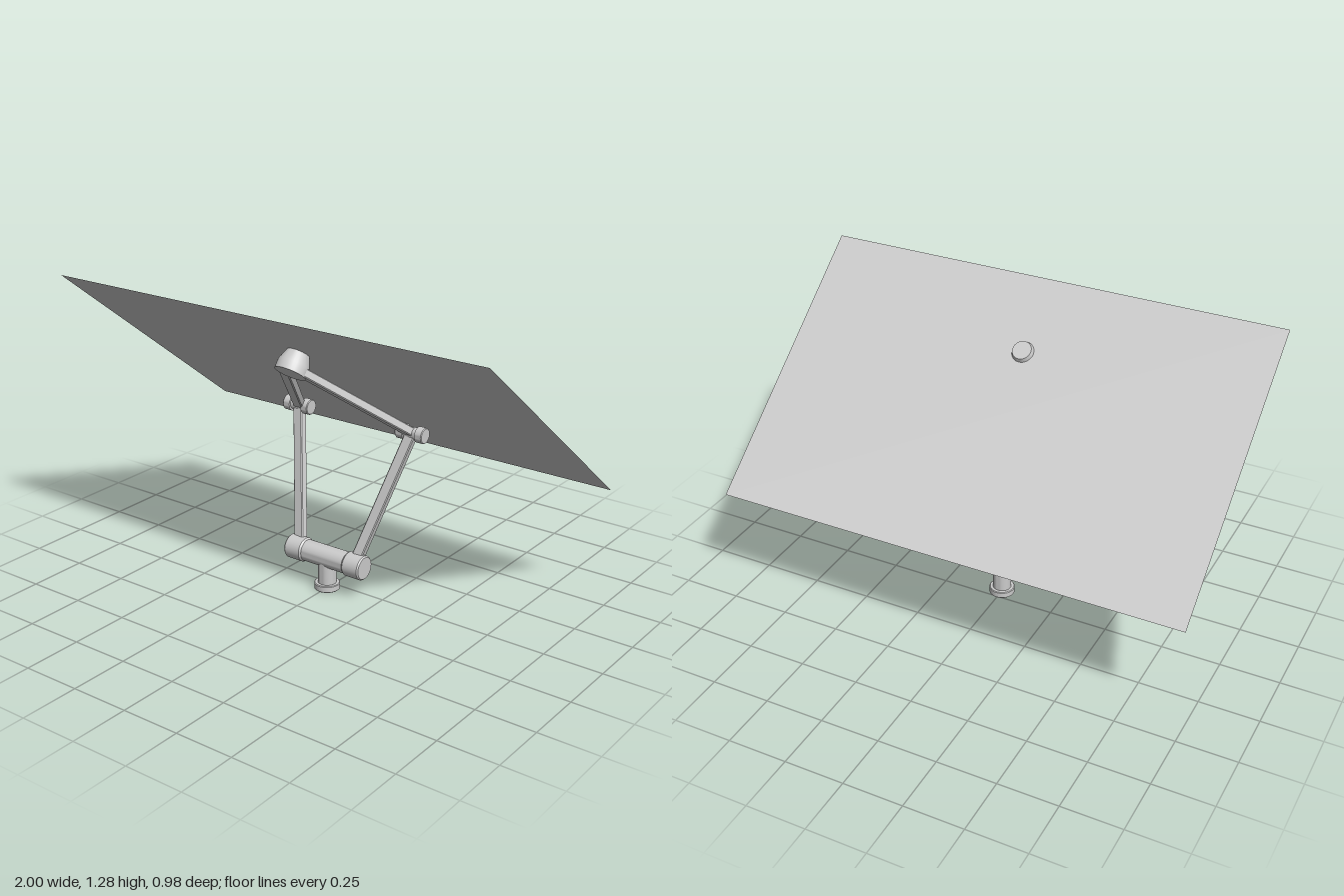
import * as THREE from 'three';
import { toCreasedNormals } from 'three/addons/utils/BufferGeometryUtils.js';

export function createModel() {
  const model = new THREE.Group();
  const mat = new THREE.MeshStandardMaterial({ color: 0xcccccc });
  const V = (x, y, z) => new THREE.Vector3(x, y, z);

  function add(parent, name, geo, material = mat) {
    const mesh = new THREE.Mesh(geo, material);
    mesh.name = name;
    parent.add(mesh);
    return mesh;
  }

  // turned part from [radius, height] pairs, crisp where the profile bends
  function turned(profile) {
    const pts = profile.map(([r, h]) => new THREE.Vector2(r, h));
    return toCreasedNormals(new THREE.LatheGeometry(pts, 32), 0.45);
  }

  // bar with chamfered corners from a to b; w runs sideways, d along the "up" hint
  function bar(a, b, w, d, up) {
    const c = 0.004, x = w / 2, y = d / 2;
    const shape = new THREE.Shape([
      [x - c, -y], [x, -y + c], [x, y - c], [x - c, y],
      [-x + c, y], [-x, y - c], [-x, -y + c], [-x + c, -y],
    ].map(([px, py]) => new THREE.Vector2(px, py)));
    const dir = b.clone().sub(a);
    const geo = new THREE.ExtrudeGeometry(shape, { depth: dir.length(), bevelEnabled: false });
    const zAxis = dir.clone().normalize();
    const xAxis = up.clone().cross(zAxis).normalize();
    const yAxis = zAxis.clone().cross(xAxis);
    geo.applyMatrix4(new THREE.Matrix4().makeBasis(xAxis, yAxis, zAxis).setPosition(a));
    return geo;
  }

  // pedestal: foot disc and stem
  const pedestal = add(model, 'pedestal', turned([
    [0, 0], [0.051, 0], [0.054, 0.003], [0.054, 0.026], [0.051, 0.029],
    [0.039, 0.029], [0.039, 0.14], [0, 0.14],
  ]));
  pedestal.position.z = 0.045;

  // horizontal barrel with thicker end collars
  const barrel = add(model, 'shoulderBarrel', turned([
    [0, -0.19], [0.047, -0.19], [0.052, -0.184], [0.052, -0.112], [0.046, -0.104],
    [0.046, 0.104], [0.052, 0.112], [0.052, 0.184], [0.047, 0.19], [0, 0.19],
  ]));
  barrel.rotation.z = -Math.PI / 2;
  barrel.position.set(0, 0.143, 0.044);

  // tilted assembly: local y is the panel normal, local z runs up the slope
  const tilt = new THREE.Group();
  tilt.name = 'tiltedAssembly';
  tilt.rotation.x = -THREE.MathUtils.degToRad(38);
  model.add(tilt);

  for (const side of [1, -1]) {
    const label = side > 0 ? 'left' : 'right';
    add(model, label + 'LowerArm',
      bar(V(side * 0.14, 0.15, 0.042), V(side * 0.285, 0.7, -0.143), 0.046, 0.034, V(0, 0, 1)));

    // elbow hinge: two flanged discs on a thinner pin
    const elbow = add(model, label + 'Elbow', turned([
      [0, -0.065], [0.03, -0.065], [0.033, -0.062], [0.033, -0.03], [0.025, -0.03],
      [0.025, 0.03], [0.033, 0.03], [0.033, 0.06], [0.03, 0.063], [0, 0.063],
    ]));
    elbow.rotation.z = -Math.PI / 2;
    elbow.position.set(side * 0.285, 0.698, -0.143);

    add(tilt, label + 'UpperArm',
      bar(V(side * 0.285, 0.638, 0.317), V(side * 0.033, 0.638, 0.845), 0.043, 0.035, V(0, 1, 0)));
  }

  // tapered head joining the upper arms, poking through the panel
  const head = add(tilt, 'head', turned([
    [0, 0.619], [0.064, 0.619], [0.064, 0.658], [0.04, 0.722], [0, 0.722],
  ]));
  head.position.z = 0.838;

  // large flat panel
  const sheet = new THREE.MeshStandardMaterial({ color: 0xcccccc, side: THREE.DoubleSide });
  const panel = add(tilt, 'panel', new THREE.PlaneGeometry(2, 1.243).rotateX(-Math.PI / 2), sheet);
  panel.position.set(0, 0.705, 0.552);

  return model;
}
